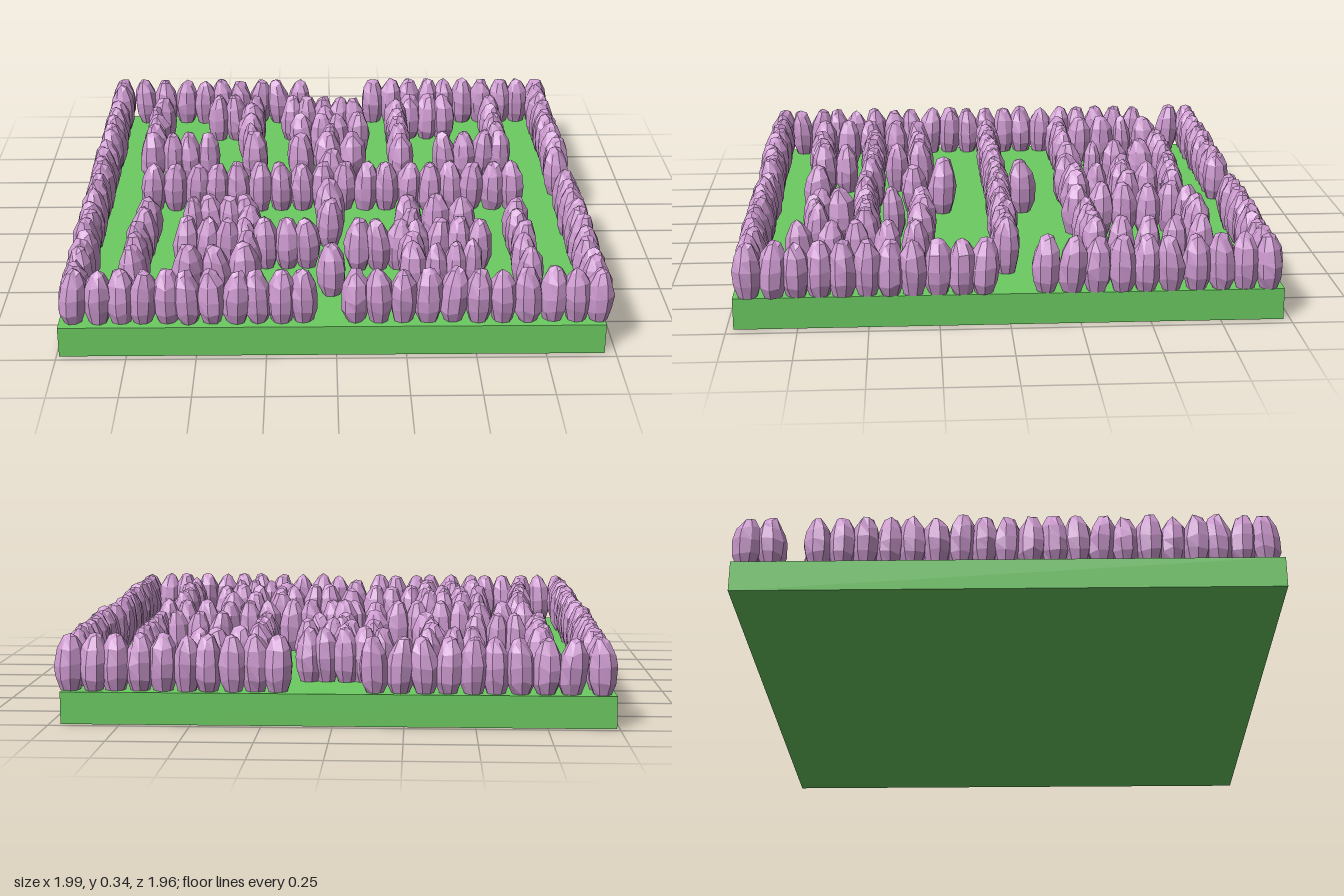
import * as THREE from 'three';
import { mergeVertices } from 'three/addons/utils/BufferGeometryUtils.js';

const BASE_TOP = 0.115;

// Small seeded generator for the irregular bushes
let seed = 7;
const rand = () => (seed = (seed * 16807) % 2147483647) / 2147483647;
const spread = (a) => (rand() * 2 - 1) * a;

// Faceted egg-shaped bush: wide in the middle, pointed and slightly crooked on top
function bushGeometry() {
  const profile = [[0, 0], [0.034, 0], [0.049, 0.045], [0.054, 0.095], [0.045, 0.148], [0.024, 0.188], [0, 0.204]]
    .map(([r, y]) => new THREE.Vector2(r, y));
  const lathe = new THREE.LatheGeometry(profile, 8);
  lathe.deleteAttribute('uv');
  lathe.deleteAttribute('normal');
  const geo = mergeVertices(lathe, 1e-4);
  const p = geo.attributes.position;
  const leanX = spread(0.012), leanZ = spread(0.012);
  for (let i = 0; i < p.count; i++) {
    const y = p.getY(i), t = y / 0.204;
    const k = 1 + spread(0.08);
    const dy = y > 0.01 && y < 0.2 ? spread(0.01) : 0;
    p.setXYZ(i, p.getX(i) * k + leanX * t * t, y + dy, p.getZ(i) * k + leanZ * t * t);
  }
  geo.computeVertexNormals();
  return geo;
}

export function createModel() {
  seed = 7;
  const model = new THREE.Group();
  const green = new THREE.MeshStandardMaterial({ color: 0x6ccb62 });
  const mauve = new THREE.MeshStandardMaterial({ color: 0xcc99cf, flatShading: true });

  const lawn = new THREE.Mesh(new THREE.BoxGeometry(1.95, BASE_TOP, 1.95), green);
  lawn.name = 'lawn';
  lawn.position.set(-0.015, BASE_TOP / 2, 0);
  model.add(lawn);

  const variants = Array.from({ length: 8 }, bushGeometry);

  function section(name) {
    const group = new THREE.Group();
    group.name = name;
    model.add(group);
    const bush = (x, z, width = 1, height = 1) => {
      const mesh = new THREE.Mesh(variants[Math.floor(rand() * variants.length)], mauve);
      mesh.name = 'bush';
      mesh.position.set(x, BASE_TOP, z);
      mesh.rotation.y = rand() * Math.PI * 2;
      mesh.scale.set(width, height * (0.97 + rand() * 0.05), width);
      group.add(mesh);
    };
    // Straight run of n bushes from one end to the other
    const row = (n, x0, z0, x1, z1, width = 1) => {
      for (let i = 0; i < n; i++) {
        const t = n > 1 ? i / (n - 1) : 0;
        bush(x0 + (x1 - x0) * t + spread(0.004), z0 + (z1 - z0) * t + spread(0.004), width);
      }
    };
    return { bush, row };
  }

  // Outer hedge with its gateways
  const outer = section('outerHedge');
  outer.row(2, -0.94, -0.93, -0.94, -0.84);
  outer.row(9, -0.83, -0.925, -0.15, -0.925);
  outer.row(10, 0.19, -0.92, 0.935, -0.92);
  outer.row(9, 0.93, -0.84, 0.93, -0.13);
  outer.row(11, 0.93, 0.09, 0.935, 0.92);
  outer.row(20, -0.935, -0.67, -0.935, 0.92);
  outer.row(10, -0.85, 0.92, -0.115, 0.92);
  outer.row(10, 0.065, 0.92, 0.86, 0.92);

  // Long middle hedge and the single bushes along the centre line
  const middle = section('middleHedge');
  middle.row(18, -0.725, 0, 0.73, 0);
  middle.bush(-0.005, -0.1, 1.1, 1.1);
  middle.bush(-0.01, 0.22, 1.1, 1.1);
  middle.bush(-0.02, 0.33);
  middle.bush(-0.015, 0.72, 1.05);

  // Back corners: L-shaped hedges
  const backLeft = section('backCornerHedges');
  backLeft.bush(-0.745, -0.71, 1.08);
  backLeft.bush(-0.76, -0.61, 0.75);
  backLeft.row(3, -0.745, -0.51, -0.755, -0.31, 1.05);
  backLeft.row(3, -0.675, -0.31, -0.52, -0.315, 0.9);
  backLeft.row(5, 0.7, -0.71, 0.705, -0.32, 0.95);
  backLeft.row(3, 0.63, -0.32, 0.475, -0.31, 0.95);

  // Back hooks
  const hooks = section('backHookHedges');
  hooks.row(3, -0.5, -0.72, -0.345, -0.725, 0.95);
  hooks.row(2, -0.345, -0.63, -0.355, -0.525, 1.1);
  hooks.bush(-0.34, -0.43, 0.75);
  hooks.bush(-0.325, -0.325, 1.1);
  hooks.row(3, 0.505, -0.73, 0.345, -0.73, 1.05);
  hooks.row(5, 0.285, -0.67, 0.285, -0.295);

  // Back centre: three bars on a stem
  const centre = section('backCentreHedge');
  centre.row(5, -0.175, -0.72, 0.1, -0.71, 0.95);
  centre.bush(-0.02, -0.61);
  centre.row(4, -0.125, -0.515, 0.11, -0.515);
  centre.bush(-0.01, -0.41, 0.85);
  centre.row(3, -0.13, -0.3, 0.085, -0.315, 1.1);

  // Front side rows
  const rows = section('frontSideHedges');
  rows.row(5, -0.725, 0.305, -0.74, 0.725);
  rows.row(5, 0.705, 0.33, 0.705, 0.745, 0.97);

  // Front left branching hedge
  const left = section('frontRightBranchHedge');
  left.bush(-0.54, 0.315, 0.85);
  left.row(3, -0.47, 0.3, -0.335, 0.305);
  left.bush(-0.33, 0.405);
  left.row(7, -0.56, 0.505, -0.105, 0.505, 0.98);
  left.bush(-0.32, 0.615, 0.9);
  left.row(3, -0.54, 0.715, -0.33, 0.71, 1.08);

  // Front right branching hedge
  const right = section('frontLeftBranchHedge');
  right.row(3, 0.295, 0.31, 0.495, 0.305, 1.05);
  right.bush(0.29, 0.41, 0.85);
  right.row(7, 0.085, 0.52, 0.54, 0.515, 0.98);
  right.row(2, 0.29, 0.615, 0.29, 0.7, 1.05);
  right.row(3, 0.37, 0.715, 0.5, 0.695, 0.85);

  return model;
}
